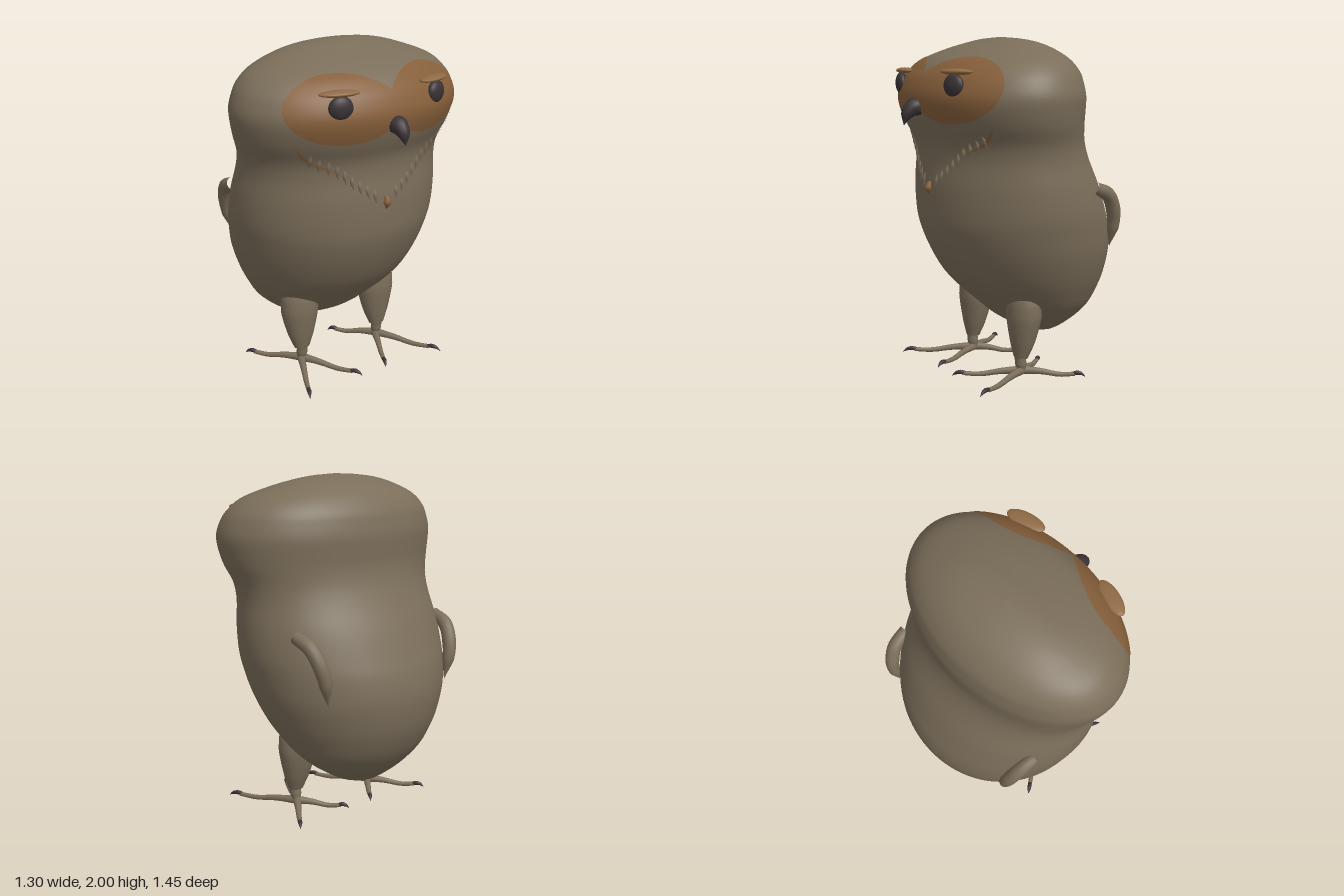
import * as THREE from 'three';
import { mergeVertices } from 'three/addons/utils/BufferGeometryUtils.js';

const V = (x, y, z) => new THREE.Vector3(x, y, z);

// Body sections: height, back x, front x, half width
const ROWS = [
  [0.19, -0.27, -0.27, 0], [0.2, -0.32, -0.21, 0.08], [0.22, -0.355, -0.15, 0.16], [0.3, -0.455, 0, 0.3],
  [0.4, -0.54, 0.12, 0.42], [0.5, -0.595, 0.235, 0.49], [0.6, -0.63, 0.325, 0.545], [0.75, -0.65, 0.41, 0.605],
  [0.9, -0.63, 0.465, 0.64], [1.0, -0.595, 0.477, 0.655], [1.15, -0.535, 0.478, 0.655], [1.3, -0.46, 0.465, 0.643],
  [1.4, -0.42, 0.475, 0.655], [1.5, -0.4, 0.52, 0.695], [1.6, -0.4, 0.553, 0.72], [1.67, -0.4, 0.557, 0.725],
  [1.75, -0.385, 0.53, 0.7], [1.8, -0.37, 0.495, 0.67], [1.87, -0.32, 0.415, 0.59], [1.93, -0.25, 0.28, 0.44],
  [1.97, -0.16, 0.15, 0.3], [1.99, -0.08, 0.08, 0.16], [2.0, 0, 0, 0],
];

// Smooth value of one column at height y
function column(y, c) {
  const n = ROWS.length - 1;
  let i = 0;
  while (i < n - 1 && y > ROWS[i + 1][0]) i++;
  const slope = (a, b) => (ROWS[b][c] - ROWS[a][c]) / (ROWS[b][0] - ROWS[a][0]);
  const h = ROWS[i + 1][0] - ROWS[i][0], t = (y - ROWS[i][0]) / h;
  const m0 = slope(Math.max(i - 1, 0), i + 1), m1 = slope(i, Math.min(i + 2, n));
  const t2 = t * t, t3 = t2 * t;
  return ROWS[i][c] * (2 * t3 - 3 * t2 + 1) + h * m0 * (t3 - 2 * t2 + t)
    + ROWS[i + 1][c] * (3 * t2 - 2 * t3) + h * m1 * (t3 - t2);
}

function section(y) {
  const back = column(y, 1), front = column(y, 2);
  return { c: (back + front) / 2, a: (front - back) / 2, w: column(y, 3) };
}

// Front point of the body at a given height and z
function onFront(y, z, lift = 0.006) {
  const { c, a, w } = section(y);
  return V(c + a * Math.sqrt(Math.max(0, 1 - (z / w) ** 2)) + lift, y, z);
}

function smooth(geo) {
  geo.deleteAttribute('uv');
  geo.deleteAttribute('normal');
  const merged = mergeVertices(geo, 1e-5);
  merged.computeVertexNormals();
  return merged;
}

// Sheet whose vertices follow fn(u, v)
function sheet(fn, nu, nv) {
  const geo = new THREE.PlaneGeometry(1, 1, nu, nv);
  const p = geo.attributes.position;
  for (let i = 0; i < p.count; i++) {
    const q = fn(p.getX(i) + 0.5, p.getY(i) + 0.5);
    p.setXYZ(i, q.x, q.y, q.z);
  }
  return smooth(geo);
}

// Tube whose radius runs through a list of values
function taper(points, radii, sides = 10, steps = 16) {
  const curve = new THREE.CatmullRomCurve3(points);
  const geo = new THREE.TubeGeometry(curve, steps, 1, sides);
  const p = geo.attributes.position, q = new THREE.Vector3();
  for (let i = 0; i < p.count; i++) {
    const t = Math.floor(i / (sides + 1)) / steps;
    const f = t * (radii.length - 1), k = Math.min(Math.floor(f), radii.length - 2);
    const r = Math.max(0.0008, THREE.MathUtils.lerp(radii[k], radii[k + 1], f - k));
    const c = curve.getPointAt(t);
    q.fromBufferAttribute(p, i).sub(c).multiplyScalar(r).add(c);
    p.setXYZ(i, q.x, q.y, q.z);
  }
  return smooth(geo);
}

export function createModel() {
  const model = new THREE.Group();
  model.name = 'owl';
  const material = (name, color, side = THREE.FrontSide) => {
    const m = new THREE.MeshStandardMaterial({ color, side });
    m.name = name;
    return m;
  };
  const plumage = material('greyBrownPlumage', 0x7b6e5a);
  const brown = material('warmBrown', 0x865f3a, THREE.DoubleSide);
  const lidBrown = material('lidBrown', 0x8f6a45);
  const dark = material('darkHorn', 0x3b3336);
  const add = (name, geo, mat, parent = model) => {
    const mesh = new THREE.Mesh(geo, mat);
    mesh.name = name;
    parent.add(mesh);
    return mesh;
  };

  // Body and head in one smooth skin, rows closer together at both ends
  add('body', sheet((u, v) => {
    const y = 1.095 - 0.905 * Math.cos(Math.PI * v);
    const { c, a, w } = section(y);
    const t = Math.PI * (2 * u - 1);
    return V(c + a * Math.cos(t), y, -w * Math.sin(t));
  }, 96, 90), plumage);

  // Beak
  add('beak', taper([V(0.52, 1.605, 0), V(0.575, 1.6, 0), V(0.615, 1.565, 0), V(0.638, 1.5, 0)],
    [0.052, 0.052, 0.035, 0], 14), dark);

  // Brown tip where the two sides of the ruff meet
  add('ruffTip', taper([onFront(1.17, 0, 0), onFront(1.13, 0, 0.008), onFront(1.09, 0, 0)],
    [0.01, 0.025, 0], 8, 8), brown);

  for (const s of [1, -1]) {
    const side = s > 0 ? 'right' : 'left';

    // Facial disc
    add(side + 'FacialDisc', sheet((u, v) => {
      const t = 2 * Math.PI * u;
      return onFront(1.7 + 0.185 * v * Math.sin(t), s * (0.28 + 0.32 * v * Math.cos(t)));
    }, 48, 14), brown);

    // Eye and lid, turned to follow the face
    const eye = add(side + 'Eye', new THREE.SphereGeometry(1, 24, 16), dark);
    eye.scale.set(0.035, 0.066, 0.07);
    eye.position.set(0.493, 1.728, s * 0.33);
    eye.rotation.y = -s * 0.3;
    const lid = add(side + 'Eyelid', new THREE.SphereGeometry(1, 24, 12), lidBrown);
    lid.scale.set(0.05, 0.018, 0.118);
    lid.position.set(0.472, 1.803, s * 0.325);
    lid.rotation.y = -s * 0.28;

    // Brown edge and feather tufts of the ruff
    const ruff = new THREE.CatmullRomCurve3([V(0, 1.57, 0.575), V(0, 1.47, 0.51), V(0, 1.4, 0.43),
      V(0, 1.345, 0.31), V(0, 1.25, 0.19), V(0, 1.15, 0.04)]);
    add(side + 'RuffEdge', sheet((u, v) => {
      const p = ruff.getPointAt(u * 0.6);
      const half = 0.035 * (1 - u) * (v * 2 - 1);
      return onFront(p.y + half, s * (p.z + half * 0.6), 0.007);
    }, 24, 3), brown);
    for (let i = 0; i < 9; i++) {
      const p = ruff.getPointAt(0.3 + i * 0.08);
      add(side + 'RuffTuft', taper([onFront(p.y + 0.06, s * p.z, -0.01), onFront(p.y, s * p.z, 0),
        onFront(p.y - 0.035, s * (p.z - 0.005), 0.002)], [0.005, 0.014, 0], 6, 6), plumage);
    }

    // Small curved wing
    add(side + 'Wing', taper([V(-0.3, 1.14, s * 0.55), V(-0.41, 1.09, s * 0.535),
      V(-0.475, 0.96, s * 0.505), V(-0.475, 0.77, s * 0.465)], [0.036, 0.042, 0.043, 0.036, 0], 14, 20), plumage);

    // Thigh and shank
    const leg = new THREE.Group();
    leg.name = side + 'Leg';
    leg.position.set(0.02, 0, s * 0.29);
    model.add(leg);
    const thigh = add('thigh', taper([V(-0.01, 0.53, 0), V(-0.01, 0.4, 0), V(0, 0.25, 0), V(0.015, 0.12, 0)],
      [0.09, 0.11, 0.112, 0.096, 0.075, 0.045], 20), plumage, leg);
    thigh.scale.set(0.88, 1, 1.1);
    add('shank', taper([V(0.02, 0.15, 0), V(0.012, 0.08, 0), V(0, 0.03, 0), V(0, 0.012, 0)],
      [0.04, 0.033, 0.034, 0.028, 0], 12), plumage, leg);

    // Two toes forward and two back, each with a hooked claw
    for (const [x, z] of [[0.41, 0.21], [0.37, -0.2], [-0.3, 0.22], [-0.25, -0.2]]) {
      const at = (t, y) => V(x * t, y, s * z * t);
      add('toe', taper([at(0, 0.04), at(0.3, 0.034), at(0.6, 0.018), at(0.84, 0.024)],
        [0.027, 0.021, 0.017, 0.015, 0.013], 8, 12), plumage, leg);
      add('claw', taper([at(0.8, 0.024), at(0.88, 0.031), at(0.95, 0.024), at(1, 0.008)],
        [0.011, 0.014, 0.01, 0], 8, 8), dark, leg);
    }
  }
  return model;
}
